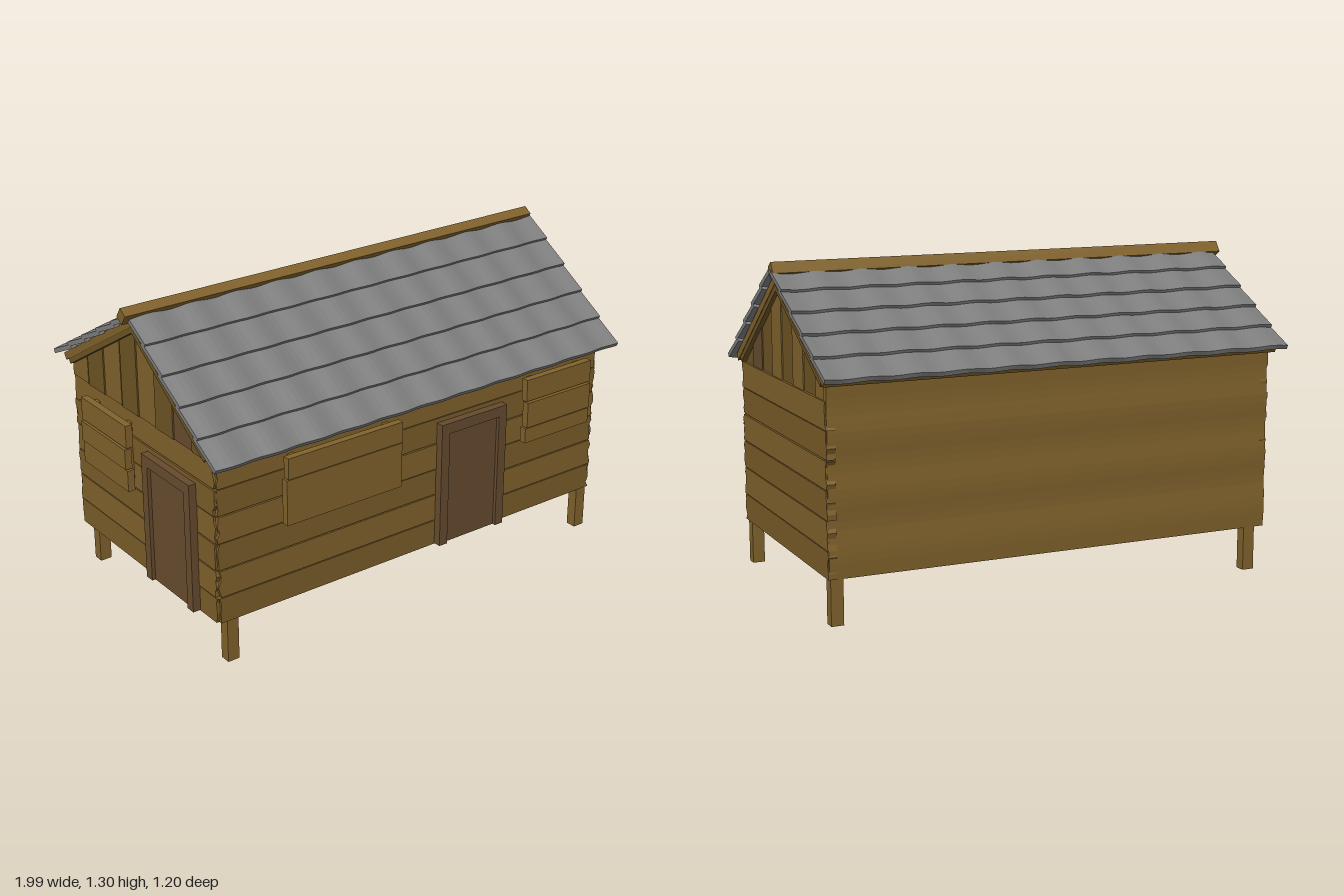
import * as THREE from 'three';

const mat = (color) => new THREE.MeshStandardMaterial({ color, flatShading: true, side: THREE.DoubleSide });
const wood = mat(0x80622c), woodDark = mat(0x6c5424), doorWood = mat(0x664b2e), slate = mat(0x7d7d7d);
const plankEdges = [0.18, 0.29, 0.405, 0.518, 0.63, 0.74, 0.85];

let seed = 7;
const rand = () => (seed = (seed * 16807) % 2147483647) / 2147483647;

function add(parent, name, geometry, material, x = 0, y = 0, z = 0) {
  const mesh = new THREE.Mesh(geometry, material);
  mesh.name = name;
  mesh.position.set(x, y, z);
  parent.add(mesh);
  return mesh;
}
const box = (parent, name, w, h, d, x, y, z, material = wood) =>
  add(parent, name, new THREE.BoxGeometry(w, h, d), material, x, y, z);

// Horizontal plank in the XY plane with rough-cut ends; front face at z = 0
function roughPlank(x0, x1, y0, y1, depth) {
  const pts = [], n = 5;
  for (let i = 0; i <= n; i++) pts.push(new THREE.Vector2(x1 - rand() * 0.016, y0 + (y1 - y0) * i / n));
  for (let i = n; i >= 0; i--) pts.push(new THREE.Vector2(x0 + rand() * 0.016, y0 + (y1 - y0) * i / n));
  const g = new THREE.ExtrudeGeometry(new THREE.Shape(pts), { depth, bevelEnabled: false });
  return g.translate(0, 0, -depth);
}

function plankWall(name, x0, x1) {
  const wall = new THREE.Group();
  wall.name = name;
  for (let i = 0; i < plankEdges.length - 1; i++) {
    const y0 = plankEdges[i] + 0.002, y1 = plankEdges[i + 1] - 0.002;
    add(wall, 'wallPlank', roughPlank(x0, x1, y0, y1, 0.035), i % 2 ? wood : mat(0x795c29), 0, 0, -rand() * 0.004);
  }
  return wall;
}

// Door centred on x, standing proud of a wall whose face is z = 0
function door(parent, x) {
  const g = new THREE.Group();
  g.name = 'door';
  g.position.x = x;
  box(g, 'doorPanel', 0.27, 0.49, 0.02, 0, 0.43, 0.005, doorWood);
  for (const s of [-1, 1]) box(g, 'doorJamb', 0.04, 0.535, 0.04, s * 0.148, 0.4525, 0.01, doorWood);
  box(g, 'doorLintel', 0.256, 0.045, 0.04, 0, 0.6975, 0.01, doorWood);
  parent.add(g);
}

// Shuttered window built from horizontal boards
function shutter(parent, x0, x1, edges) {
  const g = new THREE.Group();
  g.name = 'windowShutter';
  for (let i = 0; i < edges.length - 1; i++) {
    const y0 = edges[i] + 0.003, y1 = edges[i + 1] - 0.003, off = (i % 2) * 0.006;
    box(g, 'shutterBoard', x1 - x0 - off, y1 - y0, 0.03, (x0 + x1) / 2, (y0 + y1) / 2, 0.033 + off);
  }
  for (const x of [x0 + 0.05, x1 - 0.05]) box(g, 'shutterBatten', 0.03, 0.26, 0.025, x, 0.667, 0.01);
  parent.add(g);
}

// Gable: upright planks cut to the two roof slopes, seen along x
const gableTop = (z) => 1.23 - Math.abs(z) * (z > 0 ? 0.71 : 0.59);
function gable(name, x) {
  const g = new THREE.Group();
  g.name = name;
  const cuts = [0.5, 0.37, 0.245, 0.12, -0.003, -0.13, -0.255, -0.388, -0.51];
  for (let i = 0; i < cuts.length - 1; i++) {
    const a = cuts[i] - 0.001, b = cuts[i + 1] + (i === 4 || i === 6 ? 0.01 : 0.002);
    const pts = [[-a, 0.845], [-b, 0.845], [-b, gableTop(b)], [-a, gableTop(a)]].map((p) => new THREE.Vector2(...p));
    const geo = new THREE.ExtrudeGeometry(new THREE.Shape(pts), { depth: 0.025, bevelEnabled: false });
    geo.rotateY(Math.PI / 2);
    add(g, 'gablePlank', geo, i === 1 ? doorWood : i % 2 ? wood : woodDark, x - 0.0125 + (i % 2) * 0.004);
  }
  return g;
}

// Group whose local z runs along a roof slope, from ridge to eave, with local y as its outward normal
function slopeFrame(name, ridge, eave) {
  const dz = eave[0] - ridge[0], dy = eave[1] - ridge[1], s = Math.sign(dz);
  const g = new THREE.Group();
  g.name = name;
  g.position.set(0, ridge[1], ridge[0]);
  g.rotation.x = Math.atan2(-s * dy, s * dz);
  return { g, s, length: Math.hypot(dy, dz) };
}

// Overlapping rows of wavy slate
function slateRows(name, ridge, eave) {
  const { g, s, length } = slopeFrame(name, ridge, eave);
  const rows = 5, step = length / rows, overlap = 0.025;
  for (let i = 0; i < rows; i++) {
    const len = step + (i ? overlap : 0);
    const geo = new THREE.BoxGeometry(1.965, 0.019, len, 84, 1, 1);
    const p = geo.attributes.position;
    for (let k = 0; k < p.count; k++) {
      const w = Math.sin((p.getX(k) / 0.19) * Math.PI * 2);
      p.setY(k, p.getY(k) + 0.006 * w);
      if (p.getZ(k) * s > 0) p.setZ(k, p.getZ(k) + s * 0.005 * w);
    }
    const row = add(g, 'slateRow', geo, slate, 0.0075, 0, s * ((i + 1) * step - len / 2));
    row.rotation.x = -s * 0.09;
  }
  return g;
}

// Boards carrying the slates, with a trim strip below them at each gable
function roofBoards(name, ridge, eave) {
  const { g, s, length } = slopeFrame(name, ridge, eave);
  box(g, 'roofBoard', 1.925, 0.03, length, 0.01, 0, s * length / 2);
  for (const x of [-0.94, 0.955])
    box(g, 'gableTrim', 0.03, 0.022, length - 0.04, x, -0.026, s * (length / 2 - 0.01), woodDark);
  return g;
}

export function createModel() {
  const model = new THREE.Group();
  model.name = 'cabin';

  // Corner posts that also form the legs, and the floor
  for (const x of [-0.866, 0.924])
    for (const z of [-0.482, 0.482])
      box(model, 'cornerPost', 0.05, 0.84, 0.045, x, 0.42, z * 0.998);
  box(model, 'floor', 1.83, 0.02, 0.98, 0, 0.193, 0, woodDark);

  // Front wall with door and two shuttered windows
  const front = plankWall('frontWall', -0.93, 0.96);
  front.position.z = 0.512;
  door(front, 0.273);
  shutter(front, -0.65, -0.11, [0.525, 0.718, 0.81]);
  shutter(front, 0.53, 0.88, [0.525, 0.595, 0.71, 0.81]);
  model.add(front);

  // Plain end wall, and the opposite end wall with door and window
  const left = plankWall('leftWall', -0.508, 0.518);
  left.position.x = 0.962;
  left.rotation.y = Math.PI / 2;
  model.add(left);
  const right = plankWall('rightWall', -0.512, 0.508);
  right.position.x = -0.934;
  right.rotation.y = -Math.PI / 2;
  door(right, 0.215);
  shutter(right, -0.37, -0.03, [0.525, 0.62, 0.71, 0.81]);
  model.add(right);

  // Back wall: one gently undulating skin of close-fitted boards
  const backGeo = new THREE.BoxGeometry(1.885, 0.735, 0.03, 1, 24, 1);
  const p = backGeo.attributes.position;
  for (let k = 0; k < p.count; k++)
    p.setZ(k, p.getZ(k) + 0.003 * Math.sin((p.getY(k) / 0.225) * Math.PI * 2));
  add(model, 'backWall', backGeo, wood, 0.013, 0.5475, -0.495);

  // Gables and roof
  model.add(gable('leftGable', 0.937), gable('rightGable', -0.925));
  model.add(roofBoards('frontRoofBoards', [0.008, 1.238], [0.525, 0.862]));
  model.add(roofBoards('backRoofBoards', [0.008, 1.238], [-0.535, 0.917]));
  model.add(slateRows('frontSlates', [0.022, 1.268], [0.585, 0.853]));
  model.add(slateRows('backSlates', [0.005, 1.265], [-0.585, 0.926]));

  // Ridge beam
  const ridge = box(model, 'ridgeBeam', 1.985, 0.05, 0.042, -0.0075, 1.272, 0.014);
  ridge.rotation.x = 0.6;
  return model;
}
